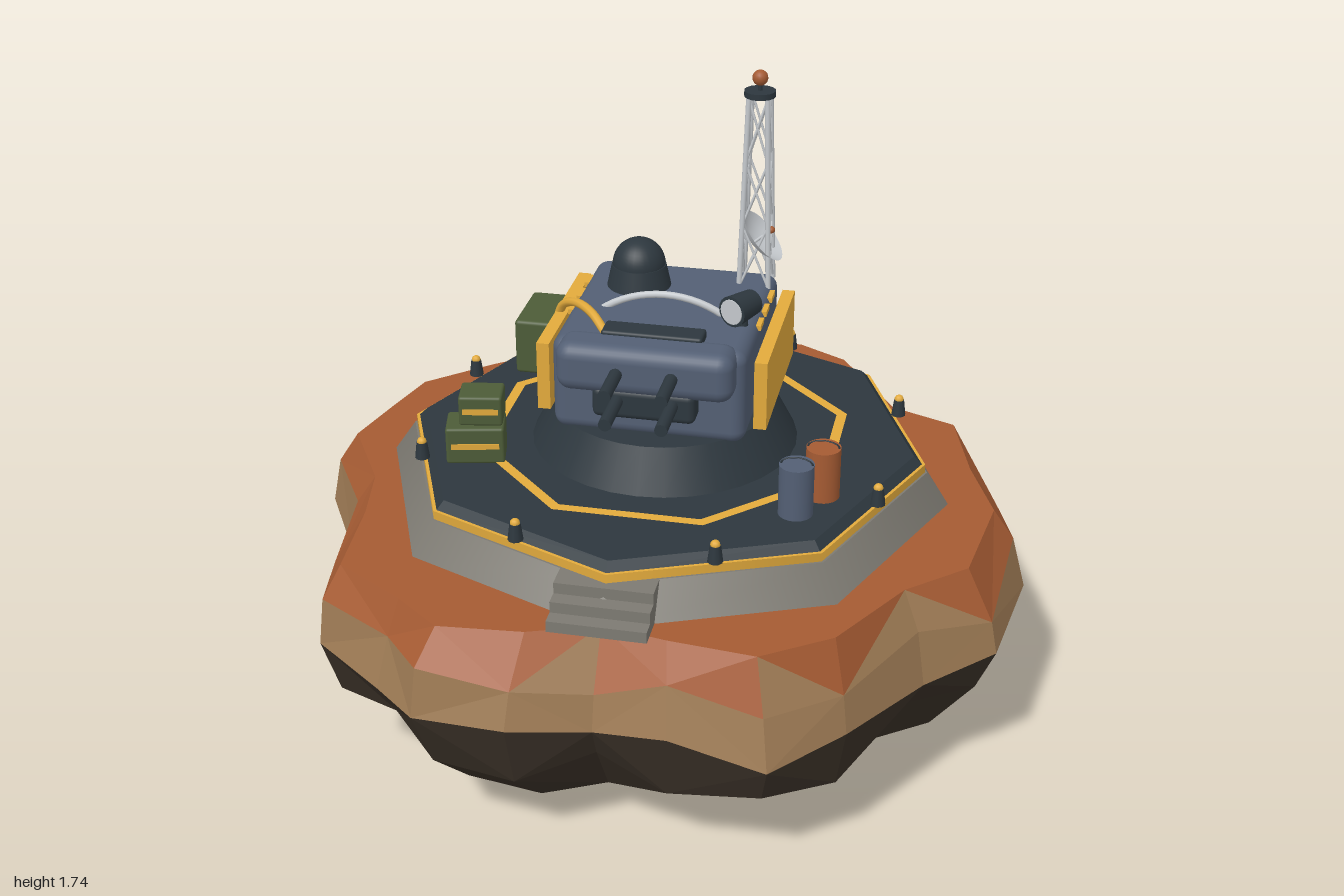
import * as THREE from 'three';
import { RoundedBoxGeometry } from 'three/addons/geometries/RoundedBoxGeometry.js';

const mat = (name, color, side = THREE.FrontSide) => {
  const m = new THREE.MeshStandardMaterial({ color, side });
  m.name = name;
  return m;
};
const V = (x, y, z) => new THREE.Vector3(x, y, z);
const CZ = 0.038; // centre line of the platform in z

export function createModel() {
  const model = new THREE.Group();
  model.name = 'rockOutpost';
  const rust = mat('rust', 0xa55b33), tan = mat('sandstone', 0x9d7a54), dark = mat('darkRock', 0x382f26);
  const grey = mat('concrete', 0x7d7a72), deckMat = mat('darkSteel', 0x2d373e), yellow = mat('yellow', 0xe2aa3c);
  const slate = mat('slate', 0x535f74), green = mat('olive', 0x4d5c38);
  const light = mat('lightMetal', 0xc4c8cc, THREE.DoubleSide);

  const add = (name, geo, m, x = 0, y = 0, z = 0, parent = model) => {
    const mesh = new THREE.Mesh(geo, m);
    mesh.name = name;
    mesh.position.set(x, y, z);
    parent.add(mesh);
    return mesh;
  };
  const group = (name, x, y, z, parent = model) => {
    const g = new THREE.Group();
    g.name = name;
    g.position.set(x, y, z);
    parent.add(g);
    return g;
  };
  const flat = (geo) => {
    const g = geo.index ? geo.toNonIndexed() : geo;
    g.computeVertexNormals();
    return g;
  };
  const box = (w, h, d) => new THREE.BoxGeometry(w, h, d);
  const rbox = (w, h, d, r) => new RoundedBoxGeometry(w, h, d, 3, r);
  const cyl = (rt, rb, h, n = 20) => new THREE.CylinderGeometry(rt, rb, h, n);
  const rod = (name, a, b, r, m, parent) => {
    const mesh = add(name, cyl(r, r, a.distanceTo(b), 12), m, 0, 0, 0, parent);
    mesh.position.copy(a).add(b).multiplyScalar(0.5);
    mesh.quaternion.setFromUnitVectors(V(0, 1, 0), b.clone().sub(a).normalize());
    return mesh;
  };

  // Rock: faceted rings following an irregular outline
  let seed = 11;
  const rnd = () => {
    seed = (seed * 16807) % 2147483647;
    return seed / 2147483647 - 0.5;
  };
  const outline = [
    [0, -0.99], [0.27, -0.94], [0.43, -0.855], [0.64, -0.55], [0.81, -0.45], [0.93, -0.19], [0.995, 0.05],
    [0.95, 0.39], [0.77, 0.53], [0.61, 0.79], [0.44, 0.95], [0.19, 0.93], [0, 0.905], [-0.2, 0.98],
    [-0.44, 0.98], [-0.57, 0.855], [-0.77, 0.71], [-0.845, 0.45], [-0.86, 0.23], [-0.995, -0.02],
    [-0.96, -0.24], [-0.89, -0.4], [-0.73, -0.59], [-0.56, -0.68], [-0.4, -0.79], [-0.21, -0.94]];
  // each ring: height, scale, height jitter, scale jitter
  const rings = [[0.012, 0.47, 0.024, 0.08], [0.05, 0.64, 0.04, 0.06], [0.14, 0.805, 0.07, 0.05],
    [0.28, 0.945, 0.09, 0.04], [0.41, 0.998, 0.07, 0.012], [0.54, 0.97, 0.07, 0.04], [0.65, 0.905, 0, 0.06]];
  const P = rings.map(([y, s, jy, js]) => outline.map(([x, z]) => {
    const k = s + rnd() * js;
    return V(x * k, y + rnd() * jy, z * k);
  }));
  const faces = [[], [], []];
  const tri = (a, b, c) => {
    const y = (a.y + b.y + c.y) / 3;
    faces[y > 0.572 ? 0 : y > 0.405 ? 1 : 2].push(a, b, c);
  };
  const n = outline.length, top = P.length - 1;
  for (let i = 0; i < n; i++) {
    const k = (i + 1) % n;
    for (let j = 0; j < top; j++) {
      const a = P[j][i], b = P[j + 1][i], c = P[j][k], d = P[j + 1][k];
      if ((i + j) % 2) { tri(a, b, c); tri(b, d, c); } else { tri(a, b, d); tri(a, d, c); }
    }
    tri(V(0, 0.65, 0), P[top][k], P[top][i]);
    tri(V(0, 0, 0), P[0][i], P[0][k]);
  }
  [['rockTop', rust], ['rockBand', tan], ['rockUnderside', dark]].forEach(([name, m], i) =>
    add(name, flat(new THREE.BufferGeometry().setFromPoints(faces[i])), m));

  // Octagonal platform
  add('platformBase', cyl(0.715, 0.783, 0.1, 8), grey, 0, 0.69, CZ);
  add('platformEdgeStripe', cyl(0.709, 0.709, 0.024, 8), yellow, 0, 0.752, CZ);
  add('deck', flat(cyl(0.678, 0.702, 0.024, 8)), deckMat, 0, 0.774, CZ);
  const mark = new THREE.RingGeometry(0.482, 0.512, 8, 1, Math.PI / 8).rotateX(-Math.PI / 2);
  add('deckMarking', mark, yellow, 0, 0.79, CZ);
  for (let i = 0; i < 3; i++) {
    const front = 0.85 - i * 0.04, h = 0.03 * (i + 1);
    add('step', box(0.25, h, front - 0.7), grey, 0, 0.65 + h / 2, (front + 0.7) / 2);
  }
  for (let i = 0; i < 8; i++) {
    const a = (i + 0.5) * Math.PI / 4;
    const b = group('edgeLamp', 0.66 * Math.sin(a), 0.775, CZ + 0.66 * Math.cos(a));
    add('lampPost', cyl(0.014, 0.02, 0.046, 10), deckMat, 0, 0.023, 0, b);
    add('lampCap', new THREE.SphereGeometry(0.013, 10, 8), yellow, 0, 0.047, 0, b);
  }

  // Turret
  add('pedestal', cyl(0.3, 0.36, 0.115, 32), deckMat, 0, 0.8425, CZ);
  const turret = group('turret', 0, 0, 0);
  add('turretBody', rbox(0.51, 0.262, 0.545, 0.035), slate, 0, 1.018, -0.008, turret);
  add('gunMantlet', rbox(0.465, 0.135, 0.125, 0.04), slate, 0, 1.095, 0.265, turret);
  add('gunCradle', rbox(0.27, 0.085, 0.09, 0.018), deckMat, 0, 1.005, 0.275, turret);
  add('roofHatch', rbox(0.265, 0.03, 0.07, 0.008), deckMat, 0.005, 1.157, 0.205, turret);
  for (const x of [-0.068, 0.076]) for (const y of [1.095, 1.015]) {
    rod('gunBarrel', V(x, y, 0.28), V(x, y, 0.455), 0.017, deckMat, turret);
  }
  for (const s of [-1, 1]) {
    add('sidePanel', box(0.034, 0.19, 0.465), yellow, s * 0.288, 1.015, -0.012, turret);
    for (const z of [0.1, -0.12]) add('panelBracket', box(0.04, 0.04, 0.04), deckMat, s * 0.262, 1.01, z, turret);
    for (const z of [0.03, -0.06, -0.15]) add('panelHinge', box(0.02, 0.014, 0.055), yellow, s * 0.25, 1.13, z, turret);
  }
  const hoop = add('roofHoop', new THREE.TorusGeometry(0.29, 0.01, 8, 40, Math.PI + 0.1), light, 0, 0.905, 0.037, turret);
  hoop.rotation.z = -0.05;

  // Sensor dome
  const dome = group('sensorDome', -0.105, 1.145, -0.12, turret);
  add('domeBase', cyl(0.074, 0.088, 0.065, 28), deckMat, 0, 0.0325, 0, dome);
  add('domeCap', new THREE.SphereGeometry(0.072, 28, 12, 0, Math.PI * 2, 0, Math.PI / 2), deckMat, 0, 0.065, 0, dome);

  // Searchlight
  add('searchlightPost', cyl(0.012, 0.016, 0.06, 10), deckMat, 0.215, 1.165, 0.08, turret);
  const lamp = group('searchlight', 0.213, 1.2, 0.082, turret);
  lamp.rotation.y = -0.5;
  add('lampBody', cyl(0.042, 0.034, 0.085).rotateX(Math.PI / 2), deckMat, 0, 0, 0, lamp);
  add('lampLens', cyl(0.034, 0.034, 0.008).rotateX(Math.PI / 2), light, 0, 0, 0.042, lamp);

  // Supply pack and cable
  add('supplyPack', rbox(0.115, 0.155, 0.2, 0.01), green, -0.355, 1.008, -0.05, turret);
  const path = new THREE.CatmullRomCurve3([V(-0.31, 1.06, 0), V(-0.285, 1.13, 0.02), V(-0.23, 1.17, 0.08),
    V(-0.17, 1.175, 0.15), V(-0.125, 1.15, 0.2)]);
  add('cable', new THREE.TubeGeometry(path, 24, 0.012, 8), yellow, 0, 0, 0, turret);

  // Lattice mast
  const mast = group('mast', 0.2, 1.14, -0.22, turret);
  const H = 0.53, levels = 3;
  const corner = (i, l) => {
    const r = 0.04 - 0.015 * l / levels;
    return V([-1, 1, 1, -1][i % 4] * r, H * l / levels, [-1, -1, 1, 1][i % 4] * r);
  };
  for (let i = 0; i < 4; i++) {
    rod('mastLeg', corner(i, 0), corner(i, levels), 0.0075, light, mast);
    for (let l = 0; l < levels; l++) {
      rod('mastBrace', corner(i, l), corner(i + 1, l + 1), 0.0035, light, mast);
      rod('mastBrace', corner(i + 1, l), corner(i, l + 1), 0.0035, light, mast);
    }
  }
  add('mastPlatform', cyl(0.042, 0.042, 0.016, 16), deckMat, 0, H + 0.008, 0, mast);
  rod('mastTip', V(0, H, 0), V(0, H + 0.04, 0), 0.006, deckMat, mast);
  add('beacon', new THREE.SphereGeometry(0.021, 16, 12), rust, 0, H + 0.05, 0, mast);

  // Dish, opening toward the left and upward
  const dish = group('dish', 0.192, 1.255, -0.218, turret);
  dish.rotation.z = -0.86;
  const bowl = [[0, 0], [0.03, 0.005], [0.055, 0.016], [0.08, 0.034]].map(([x, y]) => new THREE.Vector2(x, y));
  add('dishBowl', new THREE.LatheGeometry(bowl, 28), light, 0, 0, 0, dish);
  rod('dishFeed', V(0, 0, 0), V(0, 0.06, 0), 0.004, light, dish);
  add('dishReceiver', new THREE.SphereGeometry(0.01, 10, 8), rust, 0, 0.063, 0, dish);

  // Crates with painted stripes
  for (const [x, y, z, w, h, d, r] of [[-0.465, 0.837, 0.265, 0.155, 0.104, 0.105, 0.22],
    [-0.45, 0.931, 0.25, 0.115, 0.084, 0.095, 0.18]]) {
    const crate = group('crate', x, y, z);
    crate.rotation.y = r;
    add('crateBox', rbox(w, h, d, 0.008), green, 0, 0, 0, crate);
    for (const s of [-1, 1]) add('crateStripe', box(w * 0.82, 0.016, 0.004), yellow, 0, 0, s * d / 2, crate);
  }

  // Fuel drums with lid handles
  for (const [x, z, m] of [[0.412, 0.395, slate], [0.466, 0.293, rust]]) {
    const drum = group('drum', x, 0.785, z);
    add('drumBody', cyl(0.045, 0.045, 0.142, 24), m, 0, 0.071, 0, drum);
    const handle = add('drumHandle', new THREE.TorusGeometry(0.04, 0.003, 6, 16, Math.PI), deckMat, 0, 0.142, 0, drum);
    handle.scale.y = 0.45;
  }
  return model;
}
